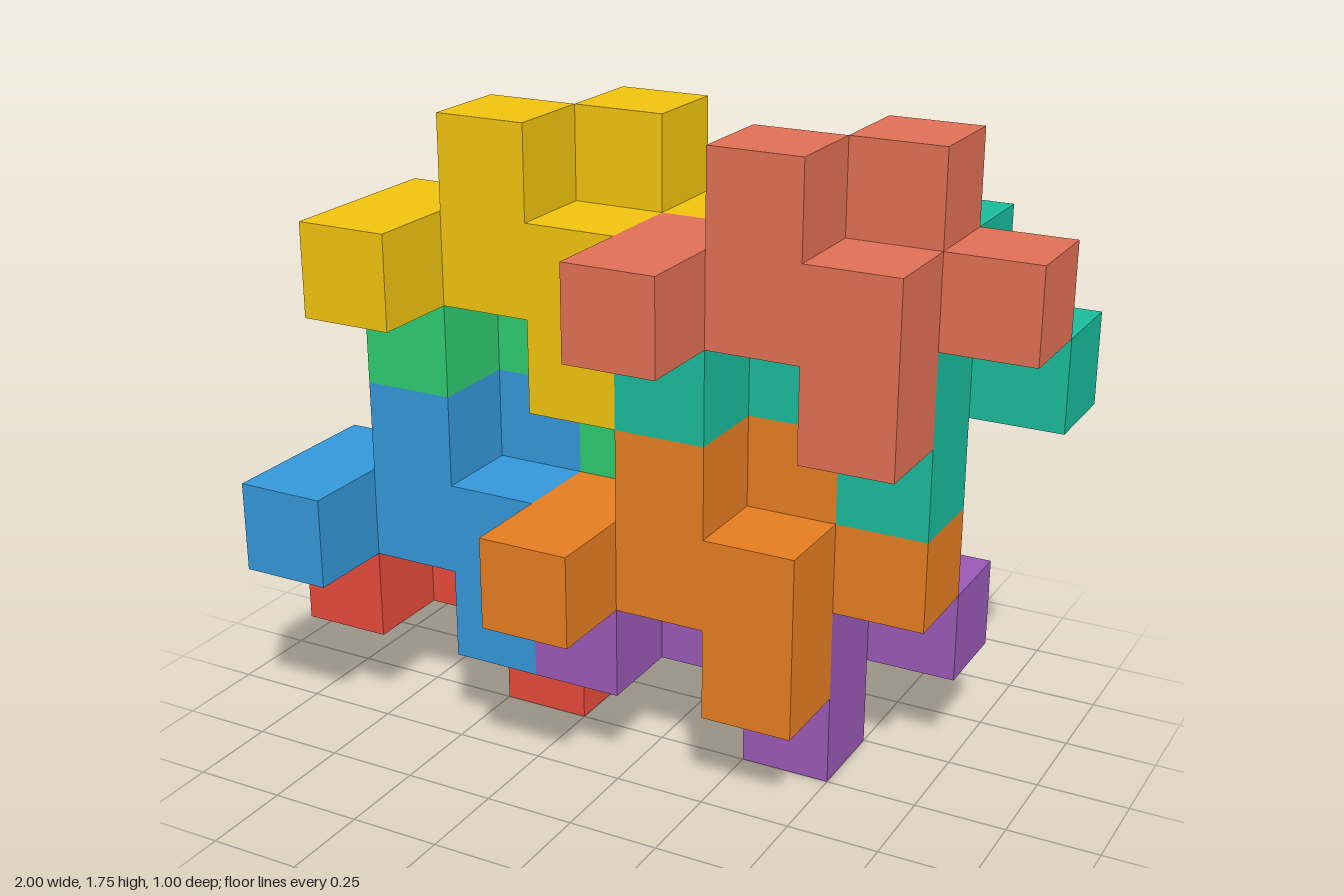
import * as THREE from 'three';
import { mergeGeometries } from 'three/addons/utils/BufferGeometryUtils.js';

const U = 0.25; // edge of one cube cell

// Cells of the repeated nine-cube piece: a stepped diagonal spine with bumps up and down
const CELLS = [
  [0, 1, 2], [0, 1, 1], [1, 1, 1], [1, 2, 1], [2, 1, 1],
  [2, 0, 1], [2, 1, 0], [2, 2, 0], [3, 1, 0],
];

// Name, colour and lattice offset of every interlocking copy
const PIECES = [
  ['redPiece', 0xe74c3c, [0, 0, 0]],
  ['purplePiece', 0x9b59b6, [3, 0, 0]],
  ['bluePiece', 0x3498db, [0, 1, 1]],
  ['orangePiece', 0xe67e22, [3, 1, 1]],
  ['greenPiece', 0x2ecc71, [1, 3, 0]],
  ['tealPiece', 0x1abc9c, [4, 3, 0]],
  ['yellowPiece', 0xf1c40f, [1, 4, 1]],
  ['coralPiece', 0xe17055, [4, 4, 1]],
];

const DIRECTIONS = [[1, 0, 0], [-1, 0, 0], [0, 1, 0], [0, -1, 0], [0, 0, 1], [0, 0, -1]];

// Outer skin of the piece: one square for each cell side without a neighbour
function pieceGeometry() {
  const filled = new Set(CELLS.map(String));
  const front = new THREE.Vector3(0, 0, 1);
  const faces = [];
  for (const cell of CELLS) {
    for (const dir of DIRECTIONS) {
      if (filled.has(String(cell.map((c, a) => c + dir[a])))) continue;
      const turn = new THREE.Quaternion().setFromUnitVectors(front, new THREE.Vector3(...dir));
      const centre = cell.map((c, a) => (c + 0.5 + dir[a] / 2) * U);
      faces.push(new THREE.PlaneGeometry(U, U).applyQuaternion(turn).translate(...centre));
    }
  }
  return mergeGeometries(faces);
}

export function createModel() {
  const model = new THREE.Group();
  model.name = 'interlockingCubePieces';
  const geometry = pieceGeometry();
  for (const [name, color, [i, j, k]] of PIECES) {
    const piece = new THREE.Mesh(geometry, new THREE.MeshStandardMaterial({ color }));
    piece.name = name;
    piece.position.set(i * U - 1, j * U, k * U - 0.5);
    model.add(piece);
  }
  return model;
}
